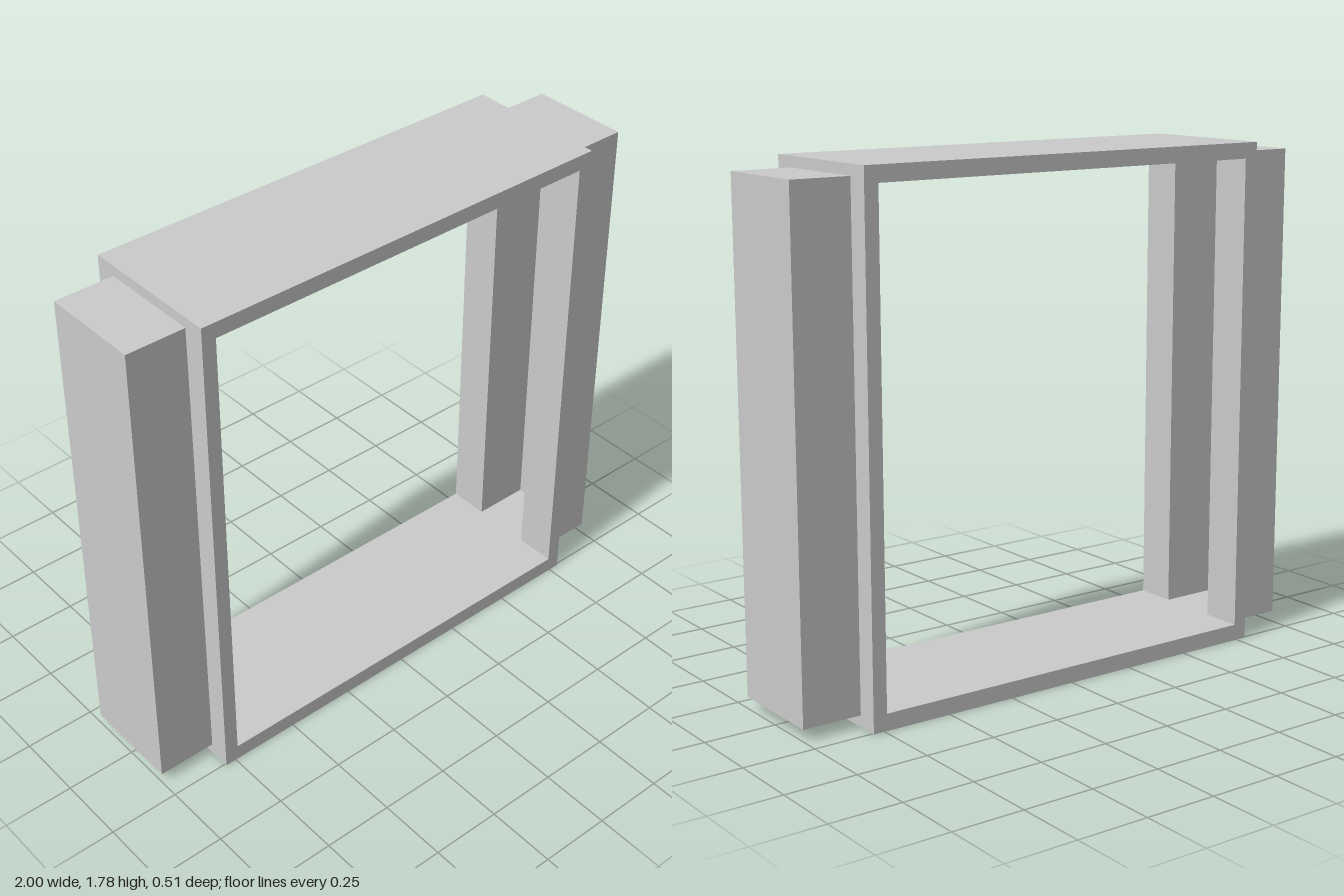
import * as THREE from 'three';

const W = 0.79, H = 1.785, D = 0.257;      // frame half width, height, half depth
const INNER = 0.74, SILL = 0.058, HEAD = 1.73; // clear opening
const SLOT = 0.11;                         // half width of the slot in each jamb
const BOX_Z = 0.18, BOX_Y0 = 0.04, BOX_Y1 = 1.748, END = 0.05; // side pockets

export function createModel() {
  const model = new THREE.Group();
  const material = new THREE.MeshStandardMaterial({ color: 0xcccccc, flatShading: true });

  // Box given by its lower and upper corner on each axis
  function block(name, [x0, x1], [y0, y1], [z0, z1], parent) {
    const mesh = new THREE.Mesh(new THREE.BoxGeometry(x1 - x0, y1 - y0, z1 - z0), material);
    mesh.position.set((x0 + x1) / 2, (y0 + y1) / 2, (z0 + z1) / 2);
    mesh.name = name;
    parent.add(mesh);
  }

  // Sill and header span the full width
  block('sill', [-W, W], [0, SILL], [-D, D], model);
  block('header', [-W, W], [HEAD, H], [-D, D], model);

  // Each side: two jamb strips with a slot between, opening into a hollow pocket
  for (const [side, turn] of [['left', 0], ['right', Math.PI]]) {
    const group = new THREE.Group();
    group.name = side + 'Side';
    group.rotation.y = turn;

    block('frontJamb', [INNER, W], [SILL, HEAD], [SLOT, D], group);
    block('backJamb', [INNER, W], [SILL, HEAD], [-D, -SLOT], group);

    // Pocket walls: a U in plan, raised to full height
    const plan = new THREE.Shape([
      [W, -BOX_Z], [1, -BOX_Z], [1, BOX_Z], [W, BOX_Z],
      [W, SLOT], [1 - END, SLOT], [1 - END, -SLOT], [W, -SLOT],
    ].map(([x, z]) => new THREE.Vector2(x, z)));
    const walls = new THREE.ExtrudeGeometry(plan, { depth: BOX_Y1 - BOX_Y0, bevelEnabled: false });
    walls.rotateX(-Math.PI / 2).translate(0, BOX_Y0, 0);
    const pocket = new THREE.Mesh(walls, material);
    pocket.name = 'pocketWalls';
    group.add(pocket);

    // Pocket floor and ceiling, level with the sill and header
    block('pocketFloor', [W, 1 - END], [BOX_Y0, SILL], [-SLOT, SLOT], group);
    block('pocketCeiling', [W, 1 - END], [HEAD, BOX_Y1], [-SLOT, SLOT], group);
    model.add(group);
  }
  return model;
}
